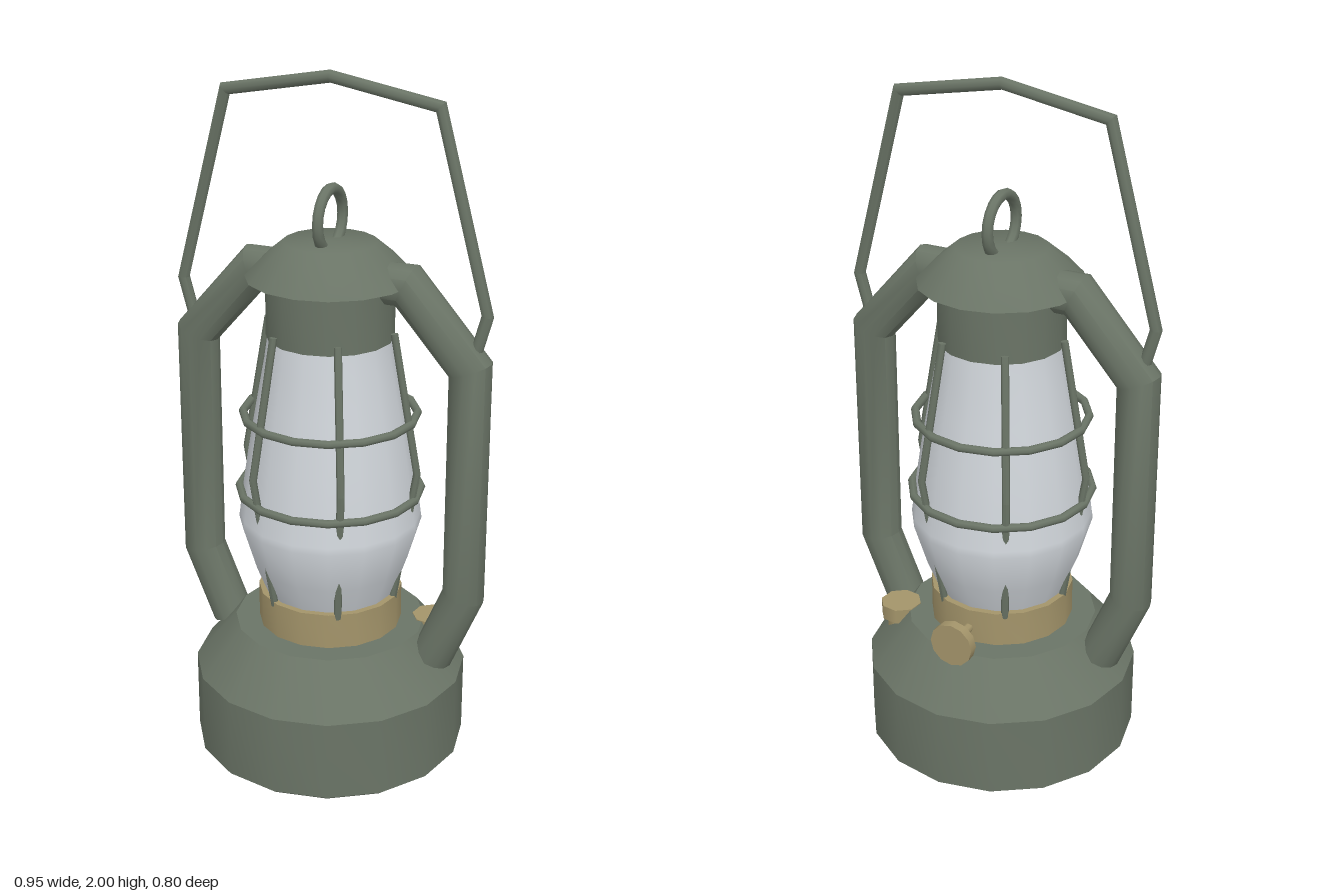
import * as THREE from 'three';
import { toCreasedNormals } from 'three/addons/utils/BufferGeometryUtils.js';

const SIDES = 16;
const CREASE = 0.62;

// Turned solid from a bottom-to-top [radius, y] profile, with sharp edges kept
function turned(profile, crease = CREASE) {
  const pts = profile.map(([r, y]) => new THREE.Vector2(r, y));
  return toCreasedNormals(new THREE.LatheGeometry(pts, SIDES), crease);
}

// Capped round bar swept along a bent path in the xy plane, mitred at each bend
function bentBar(path, radius, sides) {
  const p = path.map(([x, y]) => new THREE.Vector2(x, y));
  const normals = p.slice(1).map((b, i) => {
    const t = b.clone().sub(p[i]).normalize();
    return new THREE.Vector2(-t.y, t.x);
  });
  const pos = [];
  const index = [];
  p.forEach((c, i) => {
    const n0 = normals[Math.max(i - 1, 0)];
    const n1 = normals[Math.min(i, normals.length - 1)];
    const n = n0.clone().add(n1).normalize();
    const stretch = radius / n.dot(n0);
    for (let j = 0; j < sides; j++) {
      const a = (j / sides) * Math.PI * 2;
      const s = Math.cos(a) * stretch;
      pos.push(c.x + n.x * s, c.y + n.y * s, Math.sin(a) * radius);
    }
  });
  const last = (p.length - 1) * sides;
  for (let j = 0; j < sides; j++) {
    const k = (j + 1) % sides;
    for (let i = 0; i < last; i += sides) {
      index.push(i + j, i + k, i + sides + k, i + j, i + sides + k, i + sides + j);
    }
    if (j > 0 && j < sides - 1) {
      index.push(0, k, j, last, last + j, last + k);
    }
  }
  const g = new THREE.BufferGeometry();
  g.setAttribute('position', new THREE.Float32BufferAttribute(pos, 3));
  g.setIndex(index);
  return toCreasedNormals(g, sides < 10 ? 0.85 : CREASE);
}

export function createModel() {
  const model = new THREE.Group();
  model.name = 'lantern';

  const material = (name, color) => {
    const m = new THREE.MeshStandardMaterial({ color });
    m.name = name;
    return m;
  };
  const metal = material('greenMetal', 0x6a7466);
  const brass = material('brass', 0xa3946a);
  const glass = material('paleGlass', 0xcfd4d9);

  const add = (name, geometry, mat, x = 0, y = 0, z = 0) => {
    const mesh = new THREE.Mesh(geometry, mat);
    mesh.name = name;
    mesh.position.set(x, y, z);
    model.add(mesh);
    return mesh;
  };

  // Fuel tank with sloping shoulder
  add('fuelTank', turned([[0, 0], [0.385, 0], [0.4, 0.012], [0.4, 0.25], [0.28, 0.39], [0, 0.39]]), metal);

  // Burner collar
  add('burnerCollar', turned([[0.21, 0.385], [0.21, 0.495], [0, 0.495]]), brass);

  // Glass chimney
  add('glassChimney', turned([
    [0.19, 0.49], [0.226, 0.58], [0.265, 0.71], [0.262, 0.73], [0.253, 0.8],
    [0.235, 0.92], [0.207, 1.08], [0.185, 1.2], [0.172, 1.29],
  ], 1), glass);

  // Chimney hood with collar below and overhanging brim
  add('hood', turned([
    [0, 1.265], [0.18, 1.265], [0.18, 1.437], [0.237, 1.437],
    [0.19, 1.487], [0.13, 1.537], [0, 1.537],
  ], 0.8), metal);

  // Lifting loop on the hood
  const loop = add('liftingLoop', new THREE.TorusGeometry(0.084, 0.016, 8, 20), metal, 0, 1.597, 0);
  loop.rotation.y = Math.PI / 2;

  // Side tubes joining tank and hood
  for (const [side, name] of [[1, 'leftSideTube'], [-1, 'rightSideTube']]) {
    const path = [[0.325, 0.325], [0.415, 0.54], [0.415, 1.225], [0.228, 1.438], [0.12, 1.438]];
    add(name, bentBar(path.map(([x, y]) => [x * side, y]), 0.06, 12), metal);
  }

  // Carrying handle
  const half = [[0.42, 1.24], [0.458, 1.38], [0.312, 1.927]];
  const mirrored = half.map(([x, y]) => [-x, y]).reverse();
  add('carryingHandle', bentBar([...half, [0, 1.983], ...mirrored], 0.017, 8), metal);

  // Guard cage: six bent wires and two hoops
  const wire = bentBar([[0.192, 1.295], [0.266, 0.89], [0.198, 0.48]], 0.011, 8);
  for (let i = 0; i < 6; i++) {
    add('guardWire', wire, metal).rotation.y = (i * Math.PI) / 3;
  }
  for (const [y, r] of [[1.037, 0.248], [0.807, 0.262]]) {
    const hoop = add('guardHoop', new THREE.TorusGeometry(r, 0.012, 8, SIDES), metal, 0, y, 0);
    hoop.rotation.x = Math.PI / 2;
  }

  // Wick knob on a stem at the back
  const stem = add('wickStem', new THREE.CylinderGeometry(0.014, 0.014, 0.12, 8), brass, 0, 0.435, -0.24);
  const knob = add('wickKnob', new THREE.CylinderGeometry(0.066, 0.066, 0.028, 12), brass, 0, 0.435, -0.3);
  stem.rotation.x = knob.rotation.x = Math.PI / 2;

  // Filler cap on the tank shoulder
  add('fillerNeck', new THREE.CylinderGeometry(0.042, 0.042, 0.1, 8), brass, 0.283, 0.3, -0.115);
  const cap = add('fillerCap', new THREE.CylinderGeometry(0.061, 0.061, 0.045, 8), brass, 0.283, 0.37, -0.115);
  cap.rotation.y = 0.25;

  return model;
}
